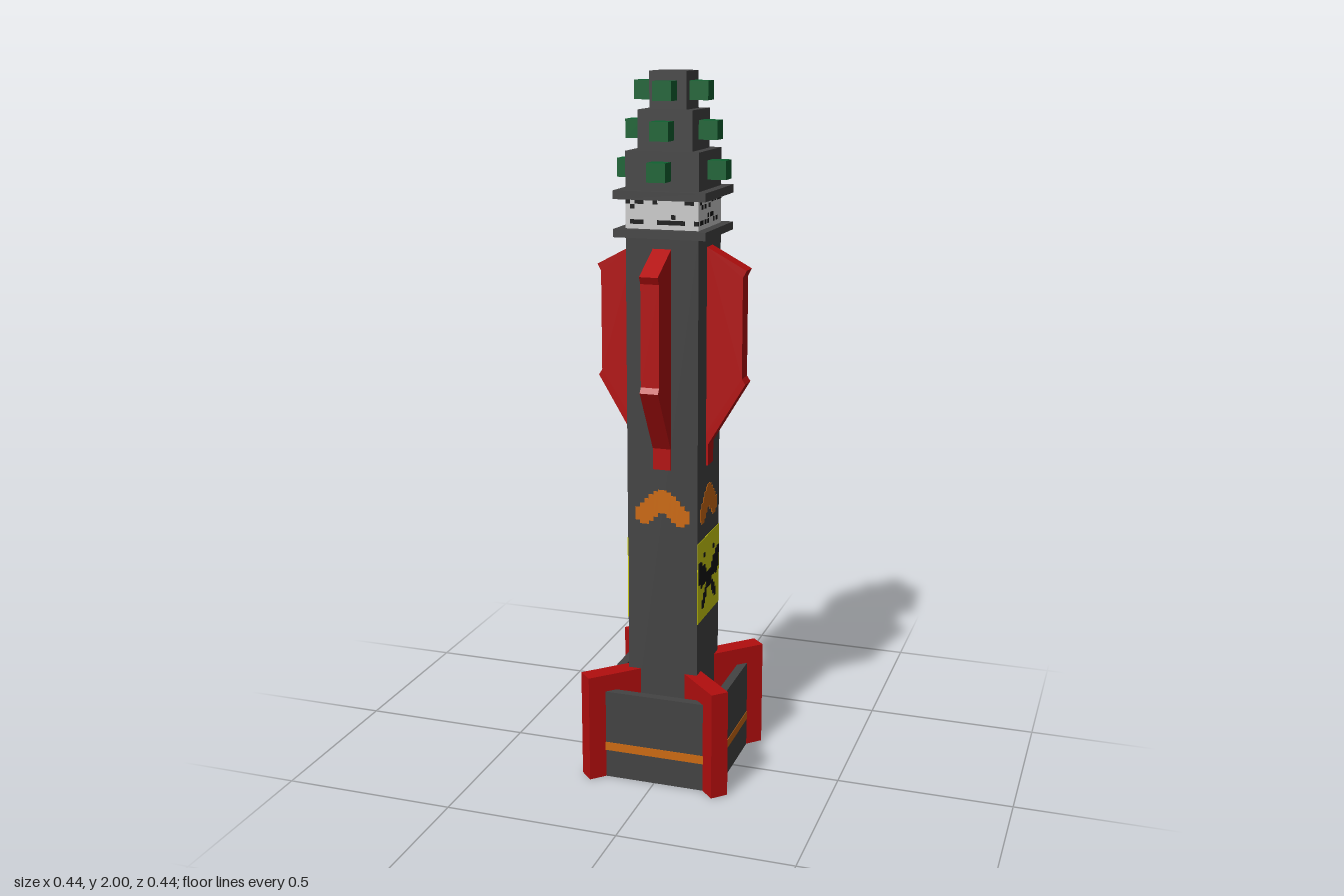
import * as THREE from 'three';

const mat = (name, color) => {
  const m = new THREE.MeshStandardMaterial({ color });
  m.name = name;
  return m;
};

export function createModel() {
  const grey = mat('dark grey', 0x434343);
  const red = mat('red', 0xb20e0e);
  const green = mat('green', 0x0f6231);
  const orange = mat('orange', 0xcc6a12);
  const yellow = mat('yellow', 0xcfcf10);
  const black = mat('black', 0x121212);
  const white = mat('off white', 0xcccccc);

  const model = new THREE.Group();
  model.name = 'rocket';

  // box given by its width, depth, bottom, top and centre
  const box = (parent, name, material, w, y0, y1, d, x = 0, z = 0) => {
    const mesh = new THREE.Mesh(new THREE.BoxGeometry(w, y1 - y0, d), material);
    mesh.position.set(x, (y0 + y1) / 2, z);
    mesh.name = name;
    parent.add(mesh);
    return mesh;
  };
  // thin painted rectangle on a +z face
  const paint = (parent, name, material, x0, x1, y0, y1, z, t = 0.003) =>
    box(parent, name, material, x1 - x0, y0, y1, t, (x0 + x1) / 2, z);

  // square stacked body: [name, half width, bottom, top, material]
  const R = 0.103;
  [
    ['bodyTube', R, 0.01, 1.565, grey],
    ['lowerRim', 0.13, 1.565, 1.587, grey],
    ['neckBand', R, 1.587, 1.667, white],
    ['upperRim', 0.13, 1.667, 1.69, grey],
    ['noseTierLow', R, 1.69, 1.793, grey],
    ['noseTierMiddle', 0.077, 1.793, 1.9, grey],
    ['noseTierTop', 0.052, 1.9, 2.0, grey],
  ].forEach(([name, h, y0, y1, m]) => box(model, name, m, h * 2, y0, y1, h * 2));

  // crossed diagonal tail fins
  for (const s of [1, -1]) {
    box(model, 'tailFinPair', red, 0.57, 0, 0.315, 0.052).rotation.y = (s * Math.PI) / 4;
  }

  // upper fin outline: x is the distance from the axis
  const outline = [[0.08, 1.545], [0.103, 1.535], [0.215, 1.475], [0.205, 1.455],
    [0.205, 1.175], [0.215, 1.16], [0.108, 0.98], [0.08, 0.98]];
  const finShape = new THREE.Shape(outline.map(([x, y]) => new THREE.Vector2(x, y)));
  const finGeometry = new THREE.ExtrudeGeometry(finShape, { depth: 0.052, bevelEnabled: false });
  finGeometry.translate(0, 0, -0.026);
  finGeometry.rotateY(-Math.PI / 2);

  // half of the orange chevron, as columns: [x0, x1, y0, y1]
  const chevron = [[0, 0.013, 0.792, 0.86], [0.013, 0.026, 0.78, 0.855], [0.026, 0.04, 0.767, 0.845],
    [0.04, 0.053, 0.757, 0.832], [0.053, 0.066, 0.757, 0.818], [0.066, 0.08, 0.767, 0.805]];
  // half of the warning sign
  const sign = [[0, 0.026, 0.553, 0.602], [0.026, 0.038, 0.577, 0.617], [0.038, 0.064, 0.575, 0.632],
    [0.064, 0.076, 0.57, 0.645], [0.076, 0.095, 0.585, 0.65], [0.026, 0.04, 0.53, 0.56],
    [0.038, 0.052, 0.515, 0.548], [0.05, 0.066, 0.505, 0.53], [0.038, 0.05, 0.655, 0.667]];
  const mirrored = (parent, name, material, parts, z) => {
    for (const [x0, x1, y0, y1] of parts) {
      paint(parent, name, material, x0, x1, y0, y1, z);
      paint(parent, name, material, -x1, -x0, y0, y1, z);
    }
  };

  // small seeded generator for the speckles
  let seed = 7;
  const rand = () => (seed = (seed * 16807) % 2147483647) / 2147483647;

  for (let k = 0; k < 4; k++) {
    const side = new THREE.Group();
    side.name = 'side' + (k + 1);
    side.rotation.y = (k * Math.PI) / 2;
    model.add(side);

    // open skirt wall with its stripe
    const w = k % 2 ? 0.316 : 0.366;
    box(side, 'skirtWall', grey, w, 0, 0.265, 0.025, 0, 0.1705);
    paint(side, 'skirtStripe', orange, -0.15, 0.15, 0.083, 0.108, 0.183);

    // upper fin and its tail plate
    const fin = new THREE.Mesh(finGeometry, red);
    fin.name = 'upperFin';
    side.add(fin);
    paint(side, 'finTail', red, -0.026, 0.026, 0.92, 0.985, 0.104, 0.009);

    // nose studs
    [[0.129, 1.716], [0.104, 1.821], [0.078, 1.924]].forEach(([z, y]) =>
      box(side, 'noseStud', green, 0.052, y, y + 0.051, 0.052, 0, z));

    mirrored(side, 'chevron', orange, chevron, R);

    // warning sign on two opposite sides
    if (k % 2) {
      paint(side, 'signPanel', yellow, -R, R, 0.47, 0.71, R);
      mirrored(side, 'signMark', black, sign, R + 0.002);
    }

    // speckles in rows on the neck band
    for (const [y, chance] of [[1.654, 0.5], [1.641, 0.12], [1.615, 0.15], [1.6, 0.45]]) {
      for (let i = 0; i < 16; i++) {
        const x = -R + (i * 2 * R) / 16;
        if (rand() < chance) paint(side, 'neckSpeckle', black, x, x + 0.0129, y, y + 0.012, R);
      }
    }
  }
  return model;
}
